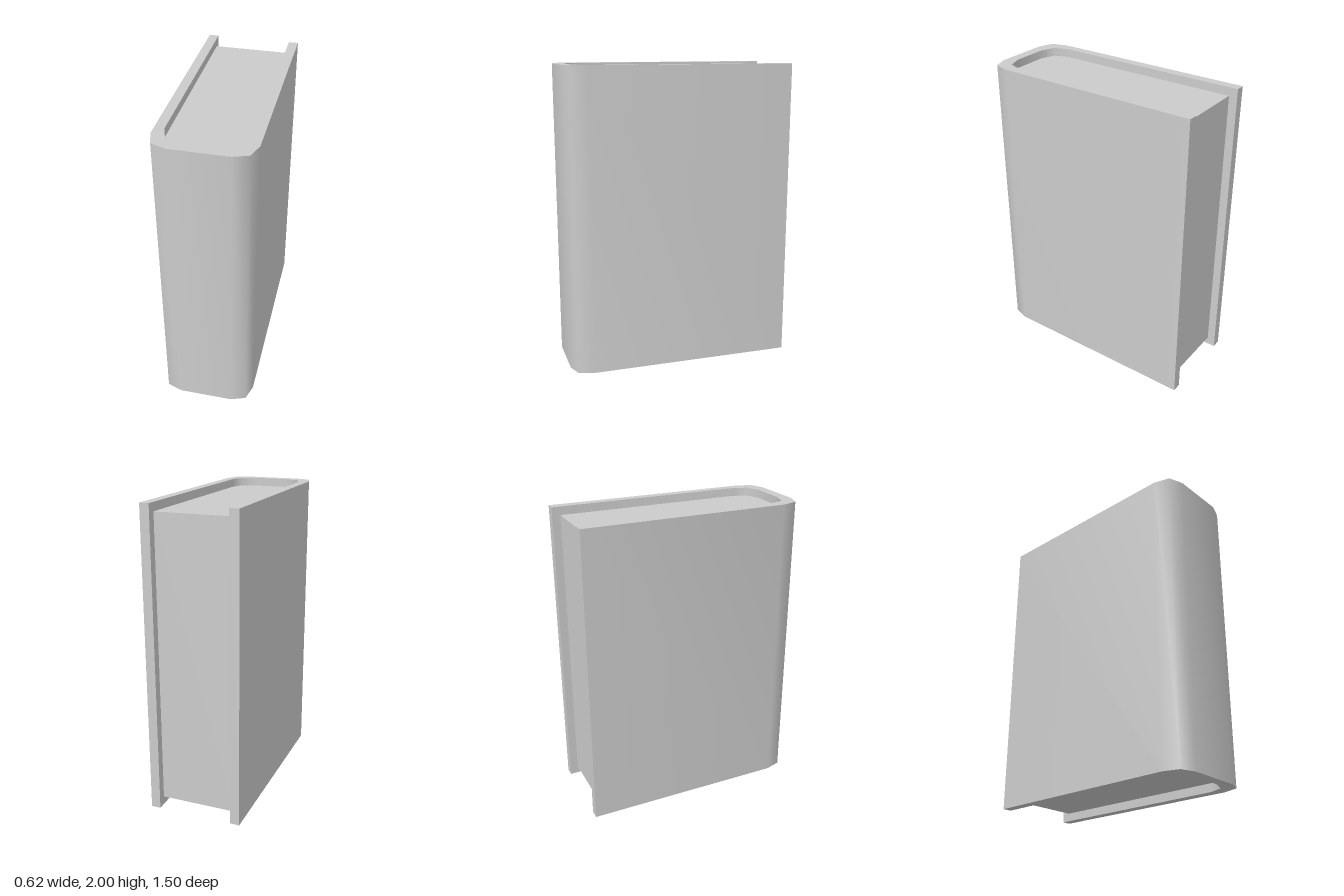
import * as THREE from 'three';
import { toCreasedNormals } from 'three/addons/utils/BufferGeometryUtils.js';

// Half profiles (x, z) running from the fore edge round to the spine
const outer = [[0.31, -0.75], [0.31, 0.61], [0.278, 0.715], [0.18, 0.75]];
const inner = [[0.248, -0.75], [0.248, 0.55], [0.215, 0.645], [0.122, 0.68]];
const pageBack = -0.695;
const pageInset = 0.055;

// Complete a half profile with its mirror image
const mirrored = (half) => [...half, ...half.map(([x, z]) => [-x, z]).reverse()];

// Upright prism over a plan outline, with the rounded spine shaded smoothly
function prism(name, outline, bottom, height) {
  const shape = new THREE.Shape(outline.map(([x, z]) => new THREE.Vector2(x, -z)));
  const extruded = new THREE.ExtrudeGeometry(shape, { depth: height, bevelEnabled: false });
  extruded.rotateX(-Math.PI / 2).translate(0, bottom, 0);
  const mesh = new THREE.Mesh(
    toCreasedNormals(extruded, THREE.MathUtils.degToRad(60)),
    new THREE.MeshStandardMaterial({ color: 0xcccccc })
  );
  mesh.name = name;
  return mesh;
}

export function createModel() {
  const book = new THREE.Group();
  book.name = 'book';

  // Cover: two boards joined by a rounded spine, open at the back
  const coverOutline = [...mirrored(outer), ...mirrored(inner).reverse()];
  book.add(prism('cover', coverOutline, 0, 2));

  // Page block: fills the cover, set in at the top, bottom and fore edge
  const pageHalf = inner.map(([x, z]) => [x, Math.max(z, pageBack)]);
  book.add(prism('pages', mirrored(pageHalf), pageInset, 2 - 2 * pageInset));

  return book;
}
